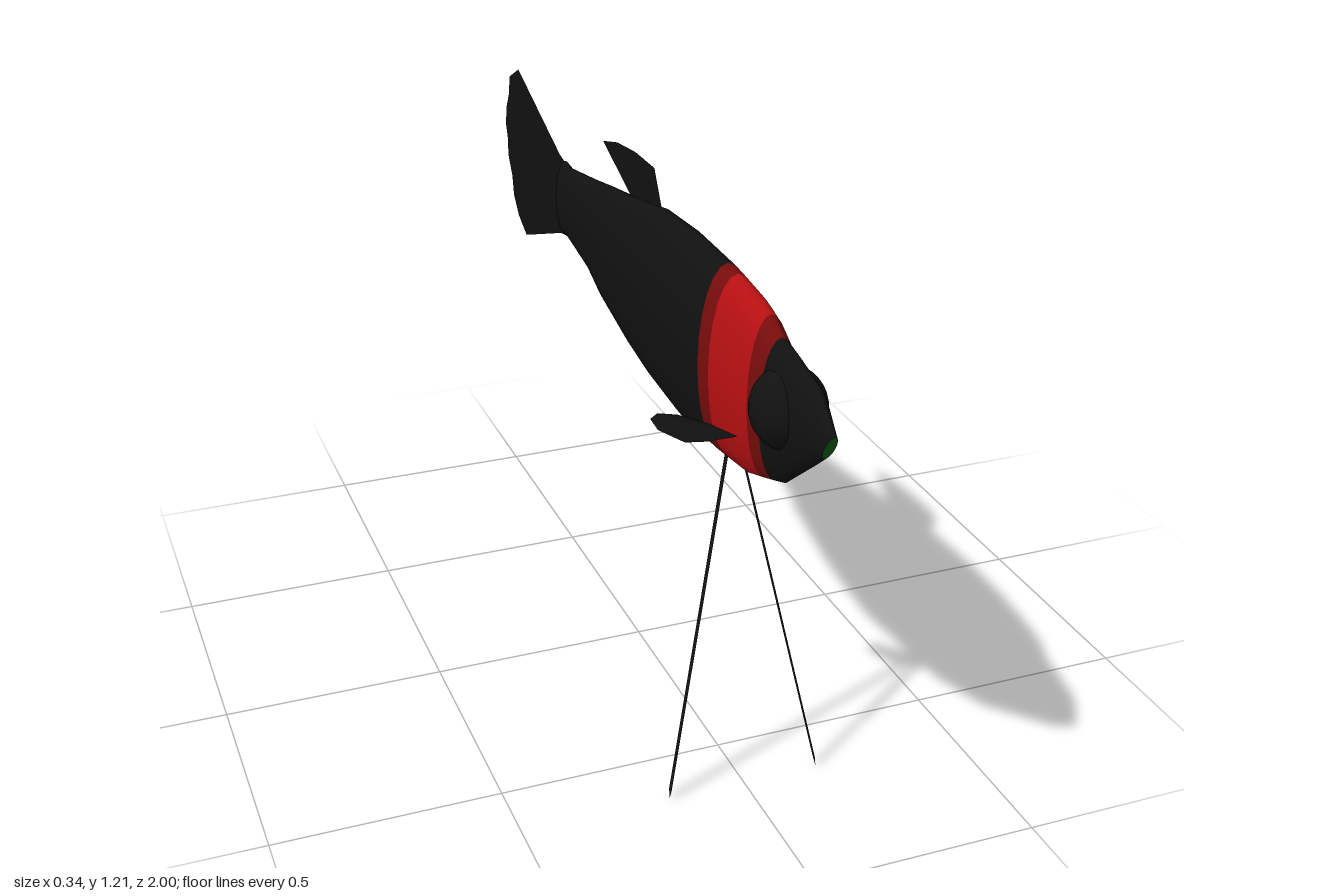
import * as THREE from 'three';

const mat = (name, color, side = THREE.FrontSide) => {
  const m = new THREE.MeshStandardMaterial({ color, side });
  m.name = name;
  return m;
};

export function createModel() {
  const group = new THREE.Group();
  const black = mat('black', 0x111111, THREE.DoubleSide);
  const red = mat('red', 0xb81012);
  const darkRed = mat('dark red', 0x780c0c);
  const green = mat('green', 0x125a18);

  const add = (name, geometry, material) => {
    const mesh = new THREE.Mesh(geometry, material);
    mesh.name = name;
    group.add(mesh);
    return mesh;
  };

  // Body sections from nose to tail: z, top, bottom, half width, tilt, colour up to the next section
  const sections = [
    [0.98, 0.995, 0.935, 0.012, 0.6, 0],
    [0.92, 1.06, 0.9, 0.026, 0, 0],
    [0.8, 1.085, 0.805, 0.04, 0, 0],
    [0.76, 1.092, 0.79, 0.043, 0, 2],
    [0.71, 1.12, 0.772, 0.046, 0, 1],
    [0.65, 1.133, 0.752, 0.053, 0, 1],
    [0.55, 1.142, 0.74, 0.06, 0, 2],
    [0.5, 1.146, 0.734, 0.062, 0, 0],
    [0.31, 1.15, 0.72, 0.064, 0, 0],
    [0.14, 1.14, 0.733, 0.061, 0, 0],
    [0, 1.112, 0.755, 0.056, 0, 0],
    [-0.2, 1.08, 0.793, 0.041, 0, 0],
    [-0.3, 1.062, 0.828, 0.034, 0, 0],
    [-0.47, 1.035, 0.855, 0.027, 0, 0],
    [-0.51, 1.04, 0.85, 0.025, 0, 0],
  ];
  const n = 24;
  const pos = [];
  const idx = [];
  const body = new THREE.BufferGeometry();
  for (const [z, top, bottom, w, tilt] of sections) {
    for (let i = 0; i < n; i++) {
      const a = (i / n) * Math.PI * 2;
      const dy = (Math.sin(a) * (top - bottom)) / 2;
      pos.push(Math.cos(a) * w, (top + bottom) / 2 + dy, z + dy * tilt);
    }
  }
  for (let s = 0; s < sections.length - 1; s++) {
    body.addGroup(idx.length, n * 6, sections[s][5]);
    for (let i = 0; i < n; i++) {
      const a = s * n + i, b = s * n + ((i + 1) % n);
      idx.push(a, a + n, b, b, a + n, b + n);
    }
  }
  body.setAttribute('position', new THREE.Float32BufferAttribute(pos, 3));
  body.setIndex(idx);
  body.computeVertexNormals();
  add('body', body, [black, red, darkRed]);

  // Caps closing the nose and the tail root
  const cap = (s, front) => {
    const g = new THREE.BufferGeometry();
    g.setAttribute('position', new THREE.Float32BufferAttribute(pos.slice(s * n * 3, (s + 1) * n * 3), 3));
    const f = [];
    for (let i = 1; i < n - 1; i++) f.push(0, front ? i : i + 1, front ? i + 1 : i);
    g.setIndex(f);
    g.computeVertexNormals();
    return g;
  };
  add('mouth', cap(0, true), green);
  add('tailRoot', cap(sections.length - 1, false), black);

  // Eyes bulging from both sides of the head
  const eyes = add('eyes', new THREE.SphereGeometry(1, 28, 18), black);
  eyes.scale.set(0.076, 0.084, 0.078);
  eyes.position.set(0, 0.965, 0.8);

  // Upright fins in the middle plane, outlined as [z, y]
  const uprightFin = (name, points) => {
    const shape = new THREE.Shape(points.map(([z, y]) => new THREE.Vector2(-z, y)));
    add(name, new THREE.ShapeGeometry(shape).rotateY(Math.PI / 2), black);
  };
  uprightFin('tailFin', [
    [-0.5, 1.035], [-0.55, 1.045], [-0.875, 1.17], [-0.955, 1.13], [-0.965, 1.08], [-0.99, 1.04],
    [-1, 0.99], [-0.985, 0.95], [-0.987, 0.91], [-0.955, 0.86], [-0.945, 0.81], [-0.905, 0.765],
    [-0.84, 0.733], [-0.55, 0.84], [-0.5, 0.85],
  ]);
  uprightFin('dorsalFin', [
    [0.15, 1.12], [0.095, 1.213], [-0.02, 1.213], [-0.135, 1.2], [-0.23, 1.175], [-0.04, 1.1], [0.02, 1.08],
  ]);

  // Side fins and thin slanting struts, mirrored left and right
  const fan = (points, side) => {
    const g = new THREE.BufferGeometry();
    g.setAttribute('position', new THREE.Float32BufferAttribute(points.flatMap(([x, y, z]) => [x * side, y, z]), 3));
    const f = [];
    for (let i = 1; i < points.length - 1; i++) f.push(0, i, i + 1);
    g.setIndex(f);
    g.computeVertexNormals();
    return g;
  };
  const finOutline = [
    [0.045, 0.852, 0.67], [0.08, 0.858, 0.61], [0.12, 0.853, 0.54], [0.145, 0.84, 0.495], [0.157, 0.825, 0.485],
    [0.15, 0.81, 0.51], [0.115, 0.804, 0.57], [0.085, 0.822, 0.615],
  ];
  const strutOutline = [
    [0.015, 0.76, 0.559], [0.168, 0.02, 0.647], [0.171, 0, 0.643], [0.168, 0.02, 0.633], [0.015, 0.76, 0.543],
  ];
  for (const [label, side] of [['left', 1], ['right', -1]]) {
    add(label + 'SideFin', fan(finOutline, side), black);
    add(label + 'Strut', fan(strutOutline, side), black);
  }
  return group;
}
